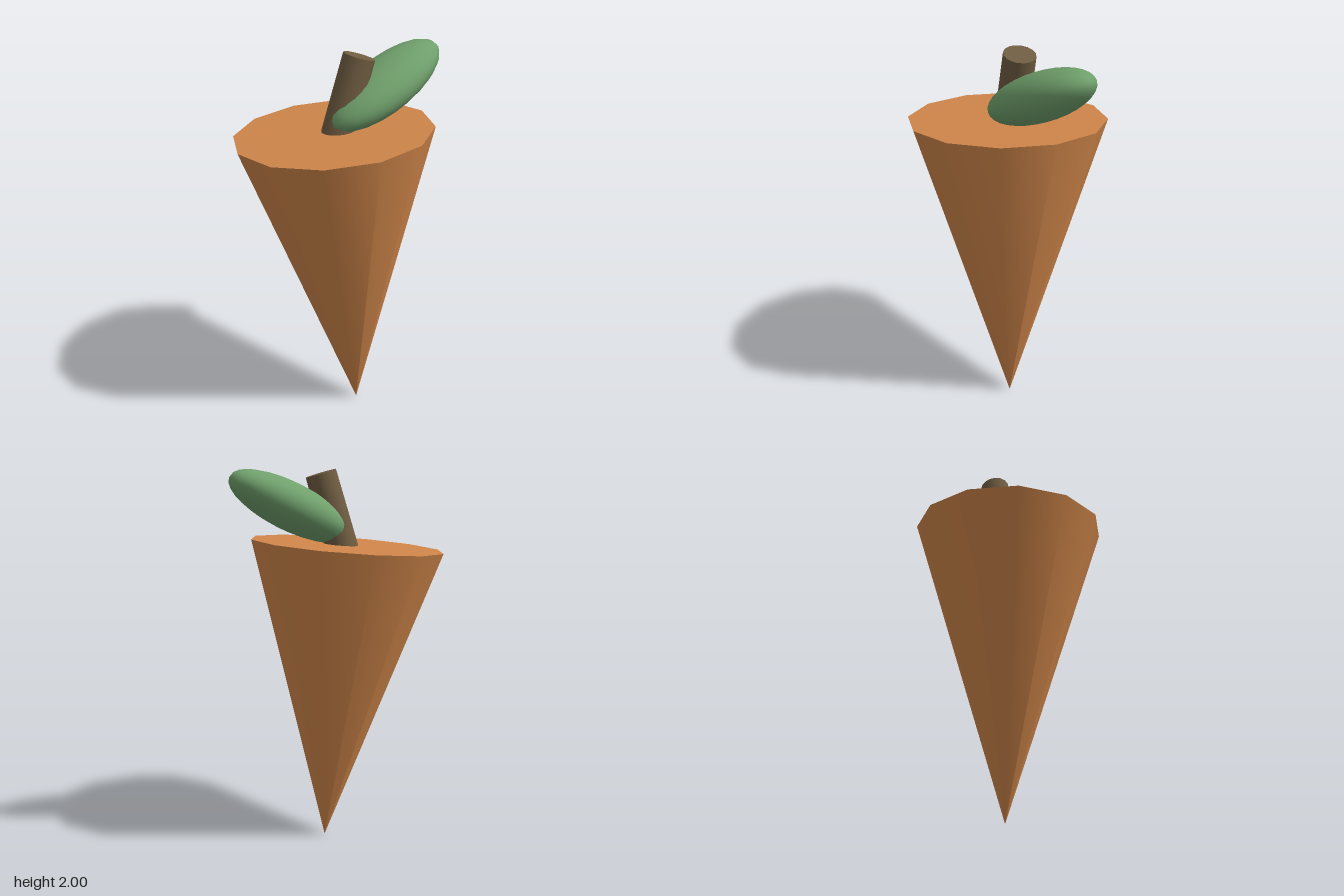
import * as THREE from 'three';

const UP = new THREE.Vector3(0, 1, 0);

// Place a y-aligned mesh so its ends sit on two points
function span(mesh, from, to) {
  mesh.position.copy(from).add(to).multiplyScalar(0.5);
  mesh.quaternion.setFromUnitVectors(UP, to.clone().sub(from).normalize());
  return mesh;
}

function material(name, color) {
  const m = new THREE.MeshStandardMaterial({ color });
  m.name = name;
  return m;
}

export function createModel() {
  const model = new THREE.Group();
  model.name = 'carrot';
  const orange = material('carrot orange', 0xd0864a);
  const brown = material('stem brown', 0x705d42);
  const green = material('leaf green', 0x70a06c);

  function add(name, geometry, mat) {
    const mesh = new THREE.Mesh(geometry, mat);
    mesh.name = name;
    model.add(mesh);
    return mesh;
  }

  // Twelve-sided root, tip down, leaning slightly
  const tip = new THREE.Vector3(0.025, 0, 0.075);
  const crown = new THREE.Vector3(-0.073, 1.613, 0);
  const rootGeometry = new THREE.CylinderGeometry(0.51, 0, crown.distanceTo(tip), 12);
  rootGeometry.rotateY(THREE.MathUtils.degToRad(16.5));
  span(add('root', rootGeometry, orange), tip, crown);

  // Tilted stem, sunk a little into the crown
  const stemBase = new THREE.Vector3(-0.048, 1.58, 0);
  const stemTop = new THREE.Vector3(0.063, 1.98, 0.035);
  const stemGeometry = new THREE.CylinderGeometry(0.081, 0.086, stemTop.distanceTo(stemBase), 16);
  span(add('stem', stemGeometry, brown), stemBase, stemTop);

  // Plump oval leaf rising to the side
  const leaf = add('leaf', new THREE.SphereGeometry(1, 20, 16), green);
  leaf.scale.set(0.367, 0.121, 0.176);
  leaf.rotation.z = THREE.MathUtils.degToRad(25);
  leaf.position.set(0.226, 1.81, 0.047);

  return model;
}
